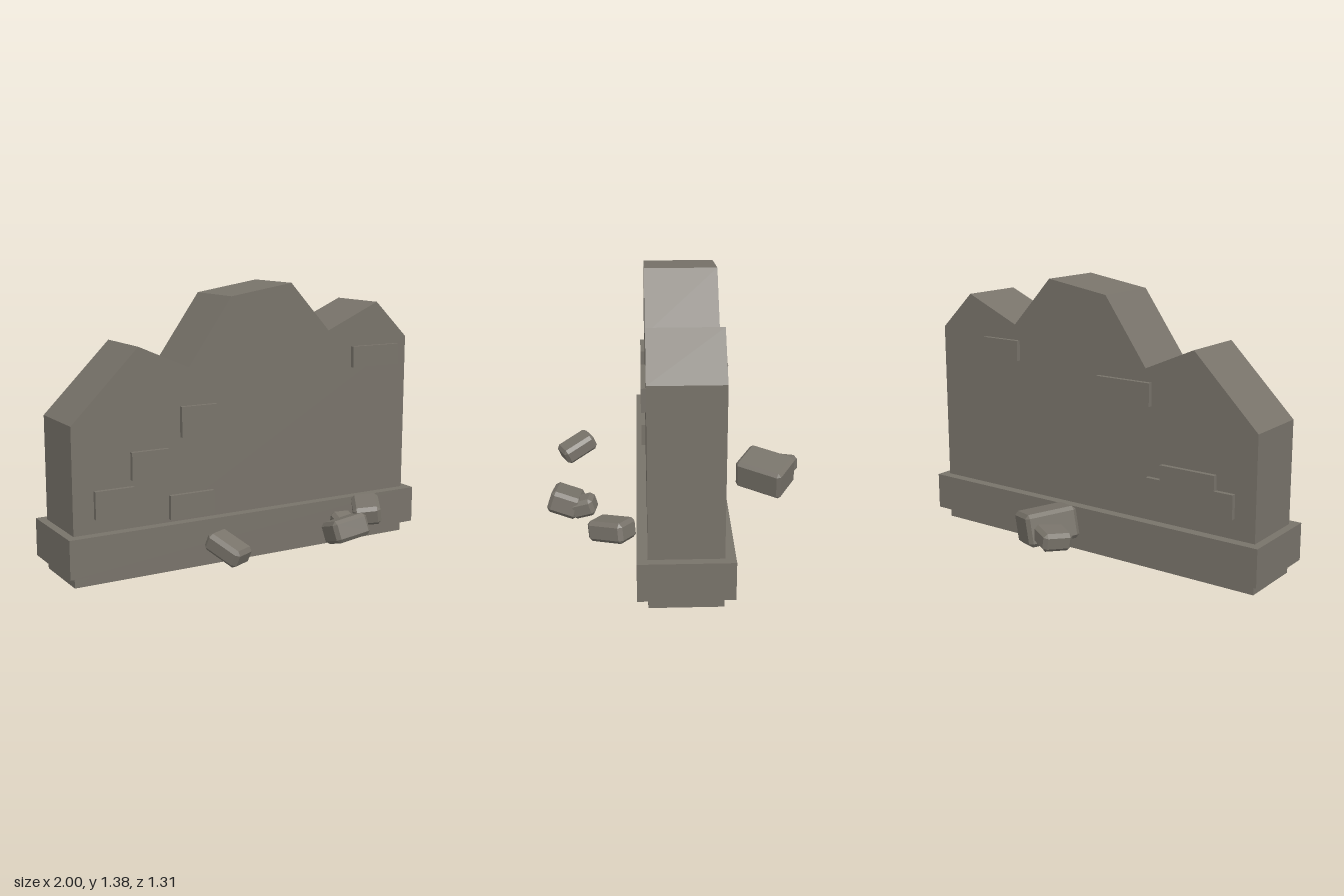
import * as THREE from 'three';
import { ConvexGeometry } from 'three/addons/geometries/ConvexGeometry.js';

const stone = new THREE.MeshStandardMaterial({ color: 0x78736a });
stone.name = 'stone';

// Box given by its extents on each axis
function block(name, [x0, x1], [y0, y1], [z0, z1]) {
  const mesh = new THREE.Mesh(new THREE.BoxGeometry(x1 - x0, y1 - y0, z1 - z0), stone);
  mesh.position.set((x0 + x1) / 2, (y0 + y1) / 2, (z0 + z1) / 2);
  mesh.name = name;
  return mesh;
}

// Box with every edge and corner cut off flat
function chamferedBox(w, h, d, c) {
  const points = [];
  for (const x of [-1, 1]) for (const y of [-1, 1]) for (const z of [-1, 1]) {
    for (let axis = 0; axis < 3; axis++) {
      const inset = [c, c, c];
      inset[axis] = 0;
      points.push(new THREE.Vector3(
        x * (w / 2 - inset[0]), y * (h / 2 - inset[1]), z * (d / 2 - inset[2])));
    }
  }
  return new ConvexGeometry(points);
}

export function createModel() {
  const model = new THREE.Group();
  model.name = 'ruinedWall';

  // Wall slab with a broken, jagged top
  const outline = [
    [-0.96, 0], [0.96, 0], [0.96, 1.08], [0.765, 1.27], [0.46, 1.135],
    [0.23, 1.385], [-0.115, 1.33], [-0.35, 1.0], [-0.615, 1.115], [-0.96, 0.77],
  ].map(([x, y]) => new THREE.Vector2(x, y));
  const wall = new THREE.Mesh(
    new THREE.ExtrudeGeometry(new THREE.Shape(outline), { depth: 0.345, bevelEnabled: false }), stone);
  wall.position.z = -0.195;
  wall.name = 'wall';
  model.add(wall);

  // Plinth band round the foot
  model.add(block('plinth', [-1, 1], [0.06, 0.25], [-0.245, 0.2]));

  // Raised bricks on the front face
  const frontBricks = [
    [[-0.855, -0.655], [0.32, 0.455]],
    [[-0.665, -0.47], [0.485, 0.62]],
    [[-0.4, -0.205], [0.665, 0.815]],
    [[-0.465, -0.225], [0.265, 0.385]],
    [[0.605, 0.9], [0.935, 1.045]],
  ];
  for (const [x, y] of frontBricks) model.add(block('frontBrick', x, y, [0.14, 0.172]));

  // Raised bricks on the back face
  const backBricks = [
    [[0.43, 0.655], [0.95, 1.055]],
    [[-0.385, -0.075], [0.82, 0.935]],
    [[-0.85, -0.37], [0.35, 0.47]],
    [[-0.75, -0.45], [0.47, 0.545]],
  ];
  for (const [x, y] of backBricks) model.add(block('backBrick', x, y, [-0.218, -0.185]));

  // Fallen rubble: size, position, rotation (pitch, yaw, roll)
  const rubble = [
    [[0.13, 0.09, 0.19], [-0.352, 0.205, 0.53], [0.4, 0.45, 0]],
    [[0.19, 0.11, 0.155], [0.298, 0.208, 0.552], [-0.3, -0.13, 0.17]],
    [[0.11, 0.09, 0.12], [0.35, 0.205, 0.462], [0.3, -0.15, 0]],
    [[0.14, 0.1, 0.2], [0.598, 0.208, 0.318], [0.18, -0.56, 0.12]],
    [[0.2, 0.16, 0.26], [0.035, 0.222, -0.476], [-0.08, -0.54, -0.18]],
    [[0.15, 0.09, 0.15], [-0.075, 0.205, -0.57], [0.1, -0.48, 0.1]],
  ];
  for (const [size, position, [pitch, yaw, roll]] of rubble) {
    const rock = new THREE.Mesh(chamferedBox(...size, 0.018), stone);
    rock.position.set(...position);
    rock.rotation.set(pitch, yaw, roll, 'YXZ');
    rock.name = 'rubble';
    model.add(rock);
  }

  return model;
}
